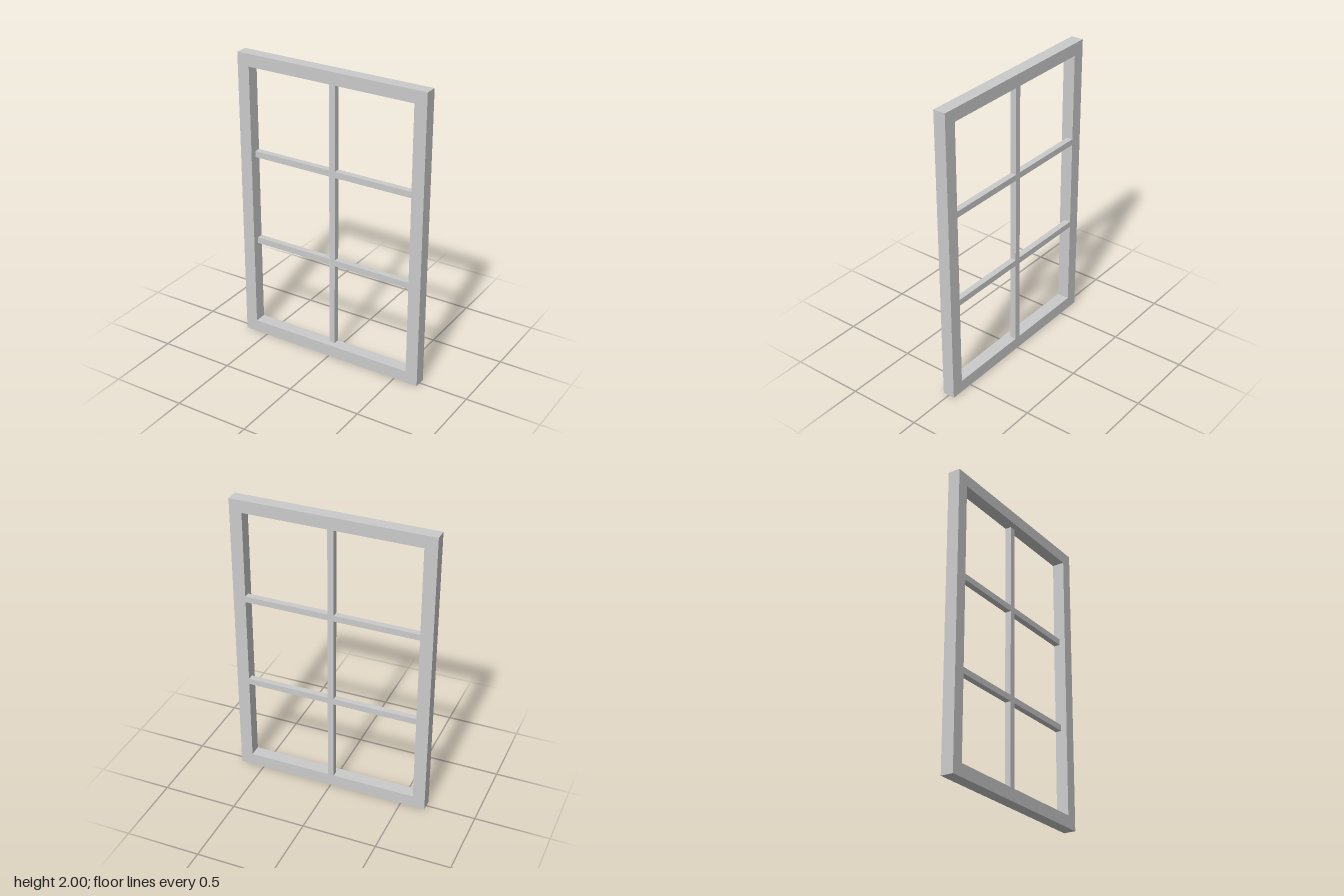
import * as THREE from 'three';

const U = 1 / 24; // glazing bar width; all sizes are multiples of it
const HALF_W = 16 * U, HEIGHT = 48 * U, RAIL = 2 * U, DEPTH = 2 * U;

export function createModel() {
  const model = new THREE.Group();
  model.name = 'windowFrame';
  const material = new THREE.MeshStandardMaterial({ color: 0xcccccc, flatShading: true });

  const add = (name, geometry, x, y, z) => {
    const mesh = new THREE.Mesh(geometry, material);
    mesh.name = name;
    mesh.position.set(x, y, z);
    model.add(mesh);
  };
  const rectangle = (Type, x, y0, y1) =>
    new Type([[-x, y0], [x, y0], [x, y1], [-x, y1]].map(([a, b]) => new THREE.Vector2(a, b)));

  // Outer frame: one solid with a rectangular opening
  const outline = rectangle(THREE.Shape, HALF_W, 0, HEIGHT);
  outline.holes.push(rectangle(THREE.Path, HALF_W - RAIL, RAIL, HEIGHT - RAIL));
  add('outerFrame', new THREE.ExtrudeGeometry(outline, { depth: DEPTH, bevelEnabled: false }), 0, 0, -DEPTH / 2);

  // Glazing bars fill the rear half of the frame depth, flush with its back
  const barZ = -U / 2;
  const openingH = HEIGHT - 2 * RAIL;
  add('verticalBar', new THREE.BoxGeometry(U, openingH, U), 0, HEIGHT / 2, barZ);

  // Two crossbars, each in halves butting against the vertical bar
  const halfLength = HALF_W - RAIL - U / 2;
  const paneH = (openingH - 2 * U) / 3;
  for (const row of [1, 2]) {
    const y = RAIL + row * paneH + (row - 0.5) * U;
    for (const side of [-1, 1]) {
      add(`${row === 1 ? 'lower' : 'upper'}Crossbar${side < 0 ? 'Right' : 'Left'}`,
        new THREE.BoxGeometry(halfLength, U, U), side * (U / 2 + halfLength / 2), y, barZ);
    }
  }
  return model;
}
